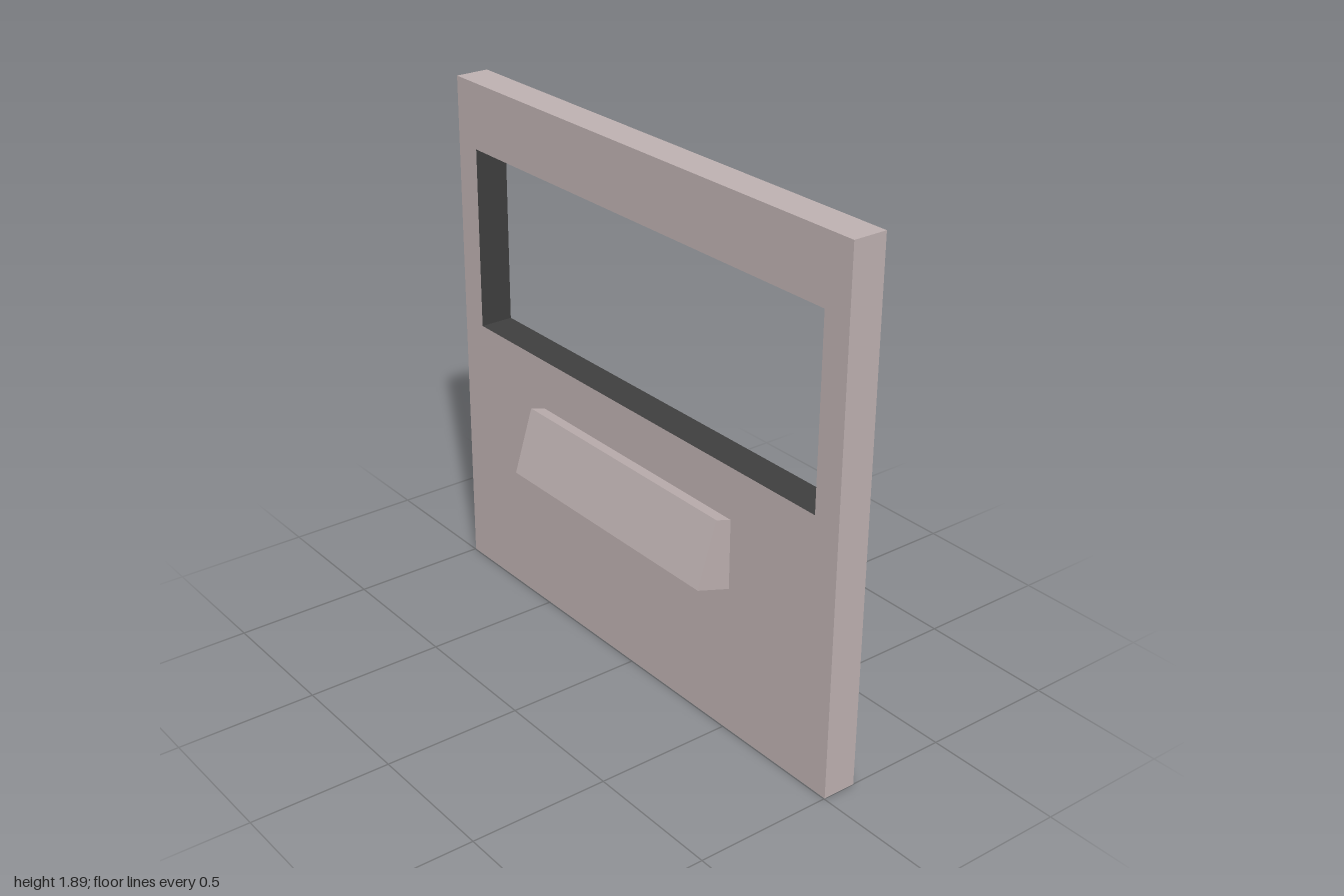
import * as THREE from 'three';

const bodyMat = new THREE.MeshStandardMaterial({ color: 0xbdb0b0 });
bodyMat.name = 'warm grey';
const sealMat = new THREE.MeshStandardMaterial({ color: 0x3e3e3e });
sealMat.name = 'dark seal';

const points = (pairs) => pairs.map(([x, y]) => new THREE.Vector2(x, y));
const rectangle = (w, y0, y1) => points([[-w, y0], [w, y0], [w, y1], [-w, y1]]);

const BACK = -0.127, FRONT = -0.003;

// Flat panel with a window opening whose inner walls are dark
function createPanel() {
  const shape = new THREE.Shape(rectangle(1, 0, 1.89));
  shape.holes.push(new THREE.Path(rectangle(0.895, 0.98, 1.65)));
  const geometry = new THREE.ExtrudeGeometry(shape, { depth: FRONT - BACK, bevelEnabled: false });
  geometry.translate(0, 0, BACK);

  // Faces and four outer walls first, then the four walls of the opening
  const total = geometry.attributes.position.count;
  const openingStart = total - 4 * 6;
  geometry.clearGroups();
  geometry.addGroup(0, openingStart, 0);
  geometry.addGroup(openingStart, total - openingStart, 1);

  const panel = new THREE.Mesh(geometry, [bodyMat, sealMat]);
  panel.name = 'windowPanel';
  return panel;
}

// Tilted bar on the front, drawn as a side profile (z, y) and swept across x
function createHandle() {
  const width = 1.02;
  const profile = points([[-0.03, 0.531], [0.127, 0.58], [0.055, 0.812], [-0.03, 0.786]]);
  const geometry = new THREE.ExtrudeGeometry(new THREE.Shape(profile), { depth: width, bevelEnabled: false });
  geometry.translate(0, 0, -width / 2);
  geometry.rotateY(-Math.PI / 2);
  const handle = new THREE.Mesh(geometry, bodyMat);
  handle.name = 'tiltedHandle';
  return handle;
}

export function createModel() {
  const model = new THREE.Group();
  model.name = 'doorPanel';
  model.add(createPanel(), createHandle());
  return model;
}
